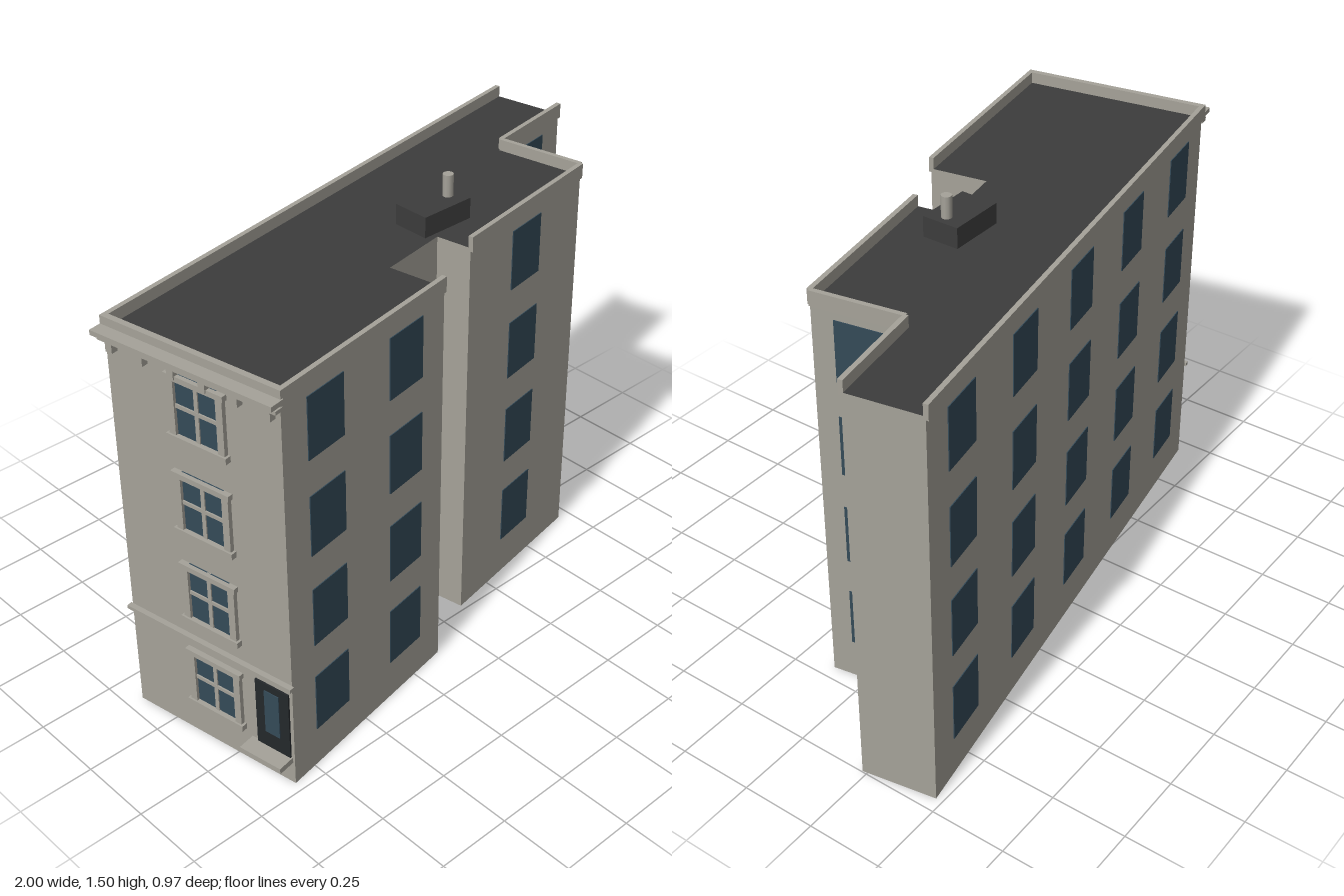
import * as THREE from 'three';

const mat = (name, color) => Object.assign(new THREE.MeshStandardMaterial({ color }), { name });

export function createModel() {
  const stone = mat('stone', 0xa5a299);
  const glass = mat('window glass', 0x344a58);
  const roofing = mat('roofing', 0x3c3c3c);
  const doorDark = mat('door dark', 0x24282b);

  const model = new THREE.Group();
  model.name = 'apartmentBlock';

  // The whole block stands at an angle; local x runs along it, local z to the front
  const block = new THREE.Group();
  block.name = 'block';
  block.rotation.y = 0.1728;
  block.position.set(-0.947, 0, -0.145);
  model.add(block);

  const box = (parent, name, material, x0, x1, y0, y1, z0, z1) => {
    const mesh = new THREE.Mesh(new THREE.BoxGeometry(x1 - x0, y1 - y0, z1 - z0), material);
    mesh.position.set((x0 + x1) / 2, (y0 + y1) / 2, (z0 + z1) / 2);
    mesh.name = name;
    parent.add(mesh);
    return mesh;
  };

  // Footprint corners (along, forward)
  const A = [0, 0], B = [1.93, 0], C = [1.93, 0.247], D = [1.58, 0.247], E = [1.58, 0.55];
  const F = [0.966, 0.55], G = [0.966, 0.43], H = [0.73, 0.43], I = [0.73, 0.622], J = [0, 0.622];
  const roofY = 1.362, topY = 1.4;

  // Main body with roof and underside as caps
  const shape = new THREE.Shape([A, B, C, D, E, F, G, H, I, J].map(([u, v]) => new THREE.Vector2(u, -v)));
  const bodyGeo = new THREE.ExtrudeGeometry(shape, { depth: roofY, bevelEnabled: false });
  bodyGeo.rotateX(-Math.PI / 2);
  const body = new THREE.Mesh(bodyGeo, [roofing, stone]);
  body.name = 'body';
  block.add(body);

  // Wall frame: x from corner a to corner b, z pointing outward
  const wall = (name, a, b) => {
    const g = new THREE.Group();
    const du = b[0] - a[0], dv = b[1] - a[1];
    g.name = name;
    g.position.set(a[0], 0, a[1]);
    g.rotation.y = Math.atan2(-dv, du);
    g.userData.length = Math.hypot(du, dv);
    block.add(g);
    return g;
  };

  const floors = [0.14, 0.465, 0.79, 1.115];
  const winW = 0.156, winH = 0.205;

  // Plain walls: window columns at even spacing, and a parapet band
  const plain = [
    ['frontLeftWall', J, I, 2], ['frontMiddleWall', F, E, 1], ['sideWall', E, D, 1],
    ['frontRightWall', D, C, 1], ['backWall', B, A, 5],
  ];
  for (const [name, a, b, columns] of plain) {
    const w = wall(name, a, b);
    const len = w.userData.length;
    for (let i = 0; i < columns; i++) {
      const x = len * (i + 0.5) / columns;
      for (const y of floors) box(w, 'window', glass, x - winW / 2, x + winW / 2, y, y + winH, -0.003, 0.003);
    }
    box(w, 'parapet', stone, 0, len, 1.35, topY, -0.008, 0.008);
  }

  // Entrance facade on the narrow end
  const facade = wall('entranceFacade', A, J);
  const len = facade.userData.length;
  box(facade, 'parapet', stone, -0.008, len + 0.008, 1.35, topY, -0.012, 0.008);
  box(facade, 'cornice', stone, -0.008, len + 0.012, 1.357, 1.373, 0, 0.05);
  box(facade, 'corniceMoulding', stone, -0.004, len + 0.008, 1.335, 1.347, 0, 0.03);
  box(facade, 'frieze', stone, 0, len, 1.347, 1.357, 0, 0.02);
  for (let i = 0; i < 6; i++) {
    const x = 0.03 + i * (len - 0.06) / 5;
    box(facade, 'bracket', stone, x - 0.012, x + 0.012, 1.3, 1.335, 0, 0.022);
  }
  box(facade, 'stringCourse', stone, -0.006, len + 0.008, 0.374, 0.386, 0, 0.018);

  // Framed sash windows
  const sashWindow = (cx, y) => {
    const g = new THREE.Group();
    g.name = 'sashWindow';
    g.position.set(cx, y, 0);
    facade.add(g);
    const h = 0.205, r = 0.1, t = 0.024;
    box(g, 'pane', glass, -r + t, r - t, 0, h, -0.003, 0.004);
    for (const s of [-1, 1]) {
      const c = s * (r - t / 2);
      box(g, 'jamb', stone, c - t / 2, c + t / 2, 0, h, 0, 0.014);
    }
    box(g, 'lintel', stone, -r - 0.006, r + 0.006, h - 0.018, h, 0, 0.018);
    box(g, 'sill', stone, -r - 0.008, r + 0.008, -0.012, 0.008, 0, 0.02);
    box(g, 'meetingRail', stone, -r + t, r - t, h / 2 - 0.006, h / 2 + 0.006, 0, 0.009);
    box(g, 'mullion', stone, -0.007, 0.007, 0, h, 0, 0.008);
  };
  floors.forEach((y) => sashWindow(0.33, y - 0.01));

  // Door with glazed panel, and step
  box(facade, 'door', doorDark, 0.485, 0.61, 0.1, 0.345, -0.003, 0.006);
  box(facade, 'doorGlass', glass, 0.52, 0.575, 0.16, 0.32, 0, 0.009);
  box(facade, 'doorStep', stone, 0.46, 0.615, 0.08, 0.1, 0, 0.06);

  // Roof housing and flue
  box(model, 'roofHousing', roofing, 0.045, 0.235, 1.35, 1.43, -0.03, 0.095);
  const flue = new THREE.Mesh(new THREE.CylinderGeometry(0.017, 0.017, 0.08, 10), stone);
  flue.name = 'flue';
  flue.position.set(0.198, 1.462, 0.036);
  model.add(flue);

  return model;
}
